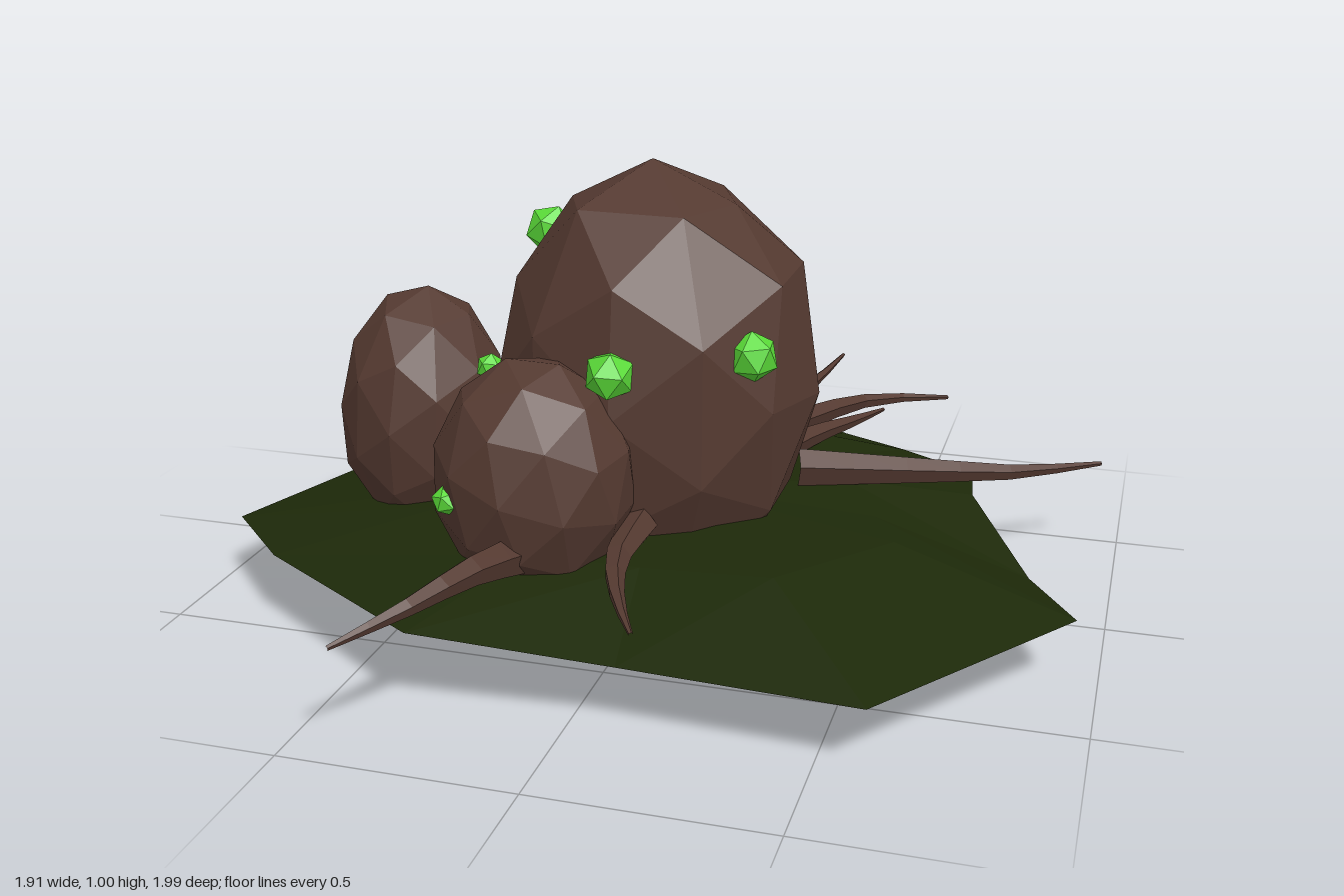
import * as THREE from 'three';

const paint = (name, color) => {
  const m = new THREE.MeshStandardMaterial({ color, flatShading: true });
  m.name = name;
  return m;
};

// Faceted slab lofted from a closed outline of [x, z, y] rim points
function slabGeometry(rim) {
  const n = rim.length;
  const ring = (s, f) => rim.map(([x, z, y], i) => [x * s, f(y, i), z * s]);
  const rings = [
    ring(0.58, (y, i) => 0.225 + 0.012 * Math.sin(i * 2.1)),
    ring(1, (y) => y),
    ring(0.6, (y, i) => 0.06 + 0.008 * Math.sin(i * 1.7)),
  ];
  const pos = [0, 0.235, 0, ...rings.flat(2), 0, 0.04, 0];
  const at = (r, i) => 1 + r * n + (i % n);
  const index = [];
  for (let i = 0; i < n; i++) {
    index.push(0, at(0, i + 1), at(0, i));
    for (let r = 0; r < 2; r++) {
      const a = at(r, i), b = at(r, i + 1), c = at(r + 1, i + 1), d = at(r + 1, i);
      index.push(a, b, c, a, c, d);
    }
    index.push(at(2, i), at(2, i + 1), 1 + 3 * n);
  }
  const geo = new THREE.BufferGeometry();
  geo.setAttribute('position', new THREE.Float32BufferAttribute(pos, 3));
  geo.setIndex(index);
  geo.computeVertexNormals();
  return geo;
}

// Low-poly boulder; each bump [x, y, z, amount] swells or dents one direction
function boulderGeometry([rx, ry, rz], [tiltX, tiltZ], bumps) {
  const geo = new THREE.IcosahedronGeometry(1, 1);
  geo.rotateX(tiltX).rotateZ(tiltZ);
  const p = geo.attributes.position;
  const v = new THREE.Vector3();
  const dir = new THREE.Vector3();
  for (let i = 0; i < p.count; i++) {
    v.fromBufferAttribute(p, i);
    let k = 1;
    for (const [x, y, z, amount] of bumps) {
      k += amount * Math.max(0, v.dot(dir.set(x, y, z).normalize())) ** 10;
    }
    p.setXYZ(i, v.x * rx * k, v.y * ry * k, v.z * rz * k);
  }
  geo.computeVertexNormals();
  return geo;
}

// Tube whose rings shrink toward the tip
function rootGeometry(points, radius) {
  const steps = 6, sides = 5;
  const curve = new THREE.CatmullRomCurve3(points.map((q) => new THREE.Vector3(...q)));
  const geo = new THREE.TubeGeometry(curve, steps, radius, sides);
  const p = geo.attributes.position;
  const v = new THREE.Vector3();
  for (let i = 0; i < p.count; i++) {
    const t = Math.floor(i / (sides + 1)) / steps;
    const c = curve.getPointAt(t);
    v.fromBufferAttribute(p, i).sub(c).multiplyScalar(1 - 0.88 * t).add(c);
    p.setXYZ(i, v.x, v.y, v.z);
  }
  geo.computeVertexNormals();
  return geo;
}

export function createModel() {
  const model = new THREE.Group();
  const moss = paint('dark moss', 0x1d2909);
  const bark = paint('brown', 0x553a31);
  const glow = paint('bright green', 0x5ada38);
  const dull = paint('dull green', 0x243c16);

  const add = (name, geo, mat, at = [0, 0, 0]) => {
    const mesh = new THREE.Mesh(geo, mat);
    mesh.name = name;
    mesh.position.set(...at);
    model.add(mesh);
    return mesh;
  };

  // Mossy ground slab
  add('groundSlab', slabGeometry([
    [-0.03, -0.89, 0.15], [0.27, -0.79, 0.11], [0.46, -0.55, 0.17], [0.65, -0.41, 0.18],
    [0.67, -0.24, 0.19], [0.83, 0.02, 0.11], [0.95, 0.29, 0.15], [0.6, 0.76, 0.14],
    [0.1, 0.73, 0.14], [-0.32, 0.78, 0.18], [-0.77, 0.47, 0.16], [-0.96, 0.27, 0.15],
    [-0.79, -0.46, 0.11], [-0.65, -0.7, 0.15], [-0.36, -0.79, 0.11],
  ]), moss);

  // Mounds: name, centre, radii, tilt, bumps
  [
    ['mainMound', [-0.03, 0.5, 0.025], [0.37, 0.5, 0.33], [0, 0], [
      [0.85, 0.48, 0, 0.12], [0.53, 0.85, 0, -0.07], [-0.75, 0.62, 0, -0.08],
      [0, 0.45, 0.9, 0.06], [0, 0.45, -0.9, 0.07], [0, 0.85, 0.53, 0.04], [0, 0.85, -0.53, 0.04],
    ]],
    ['sideMound', [-0.56, 0.4, 0.095], [0.19, 0.295, 0.205], [0, -0.1], [
      [-0.85, -0.5, 0, 0.12], [0.85, -0.3, 0, 0.06],
    ]],
    ['frontMound', [-0.19, 0.38, 0.37], [0.22, 0.26, 0.22], [0, 0.277], [
      [-0.85, -0.5, 0, 0.08], [0.7, 0.7, 0, -0.05],
    ]],
    ['backMound', [-0.12, 0.385, -0.4], [0.225, 0.26, 0.2], [0.18, 0.15], [
      [0, -0.4, -0.9, 0.06], [0.7, 0.7, 0, -0.04],
    ]],
  ].forEach(([name, at, radii, tilt, bumps]) =>
    add(name, boulderGeometry(radii, tilt, bumps), bark, at));

  // Roots: radius, then path from base to tip
  [
    [0.04, [0.08, 0.25, -0.22], [0.14, 0.26, -0.55], [0.18, 0.25, -0.8], [0.215, 0.265, -1]],
    [0.045, [0.1, 0.25, -0.22], [0.24, 0.26, -0.5], [0.36, 0.24, -0.72], [0.53, 0.225, -0.83]],
    [0.04, [0.17, 0.24, -0.2], [0.25, 0.24, -0.4], [0.33, 0.23, -0.57], [0.38, 0.22, -0.7]],
    [0.045, [0.28, 0.27, -0.1], [0.6, 0.25, -0.22], [0.76, 0.235, -0.3], [0.95, 0.225, -0.44]],
    [0.04, [0.02, 0.26, 0.3], [0.025, 0.25, 0.48], [0.075, 0.24, 0.63], [0.14, 0.225, 0.75]],
    [0.045, [-0.18, 0.25, 0.5], [-0.22, 0.28, 0.68], [-0.28, 0.27, 0.84], [-0.38, 0.24, 0.99]],
  ].forEach(([r, ...path], i) => add(`root${i + 1}`, rootGeometry(path, r), bark));

  // Glowing buds: position, radius
  [
    [[-0.285, 0.815, -0.02], 0.058], [[-0.03, 0.605, 0.345], 0.056], [[0.245, 0.63, 0.215], 0.056],
    [[-0.33, 0.36, 0.52], 0.033], [[-0.37, 0.535, 0.16], 0.033], [[-0.38, 0.46, 0.31], 0.033],
    [[-0.14, 0.455, -0.57], 0.036], [[0.09, 0.495, -0.34], 0.028],
  ].forEach(([at, r], i) => {
    const bud = add(`bud${i + 1}`, new THREE.IcosahedronGeometry(r), glow, at);
    bud.rotation.set(i * 0.7, i * 1.1, 0.2);
  });

  // Small dull spots
  [[[-0.17, 0.355, 0.56], 0.02], [[-0.255, 0.755, -0.15], 0.03]].forEach(([at, r], i) =>
    add(`mossSpot${i + 1}`, new THREE.IcosahedronGeometry(r), dull, at));

  return model;
}
